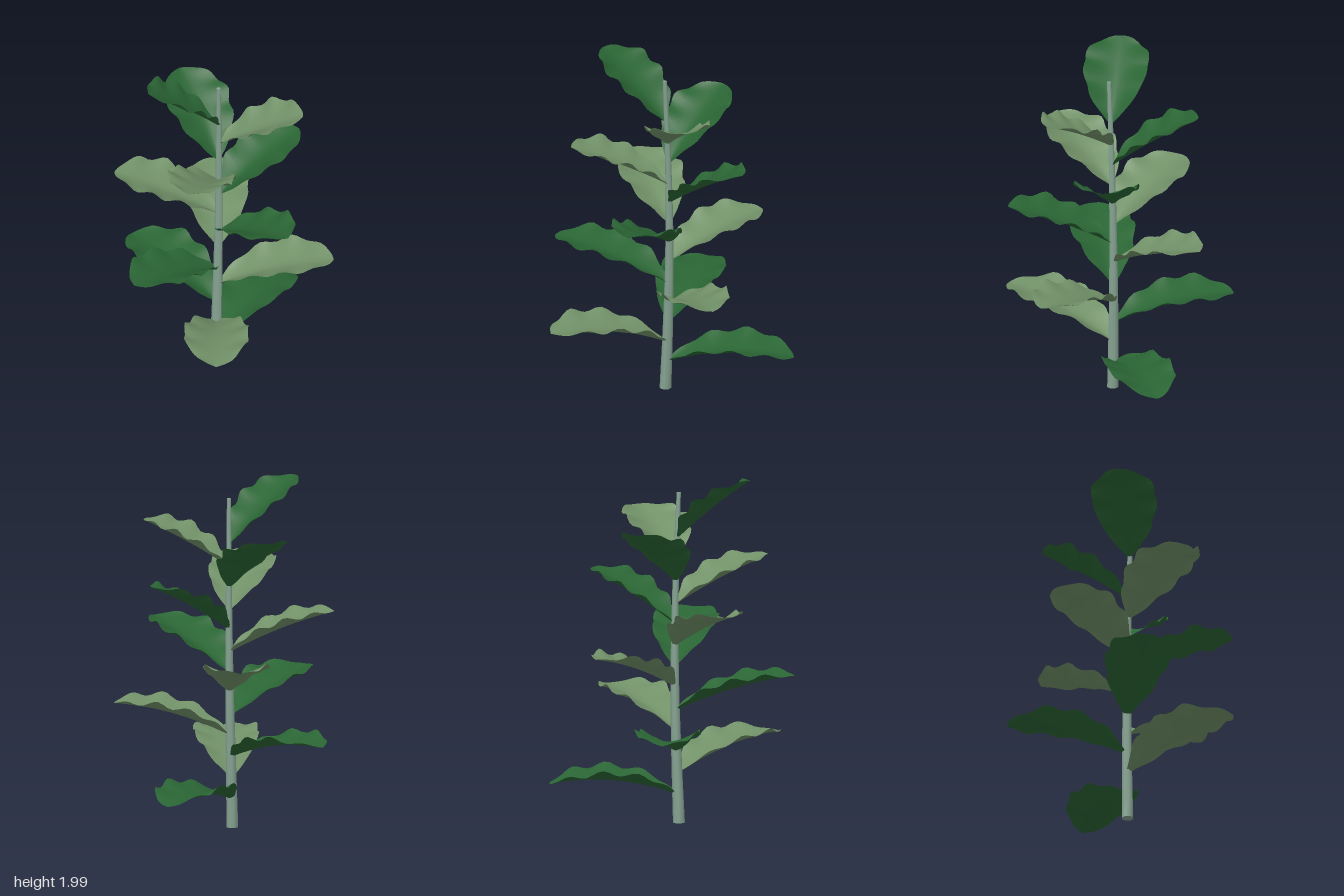
import * as THREE from 'three';

const stemMat = new THREE.MeshStandardMaterial({ color: 0x86a392 });
stemMat.name = 'greyGreenStem';
const darkMat = new THREE.MeshStandardMaterial({ color: 0x2a6534, side: THREE.DoubleSide });
darkMat.name = 'deepGreenLeaf';
const lightMat = new THREE.MeshStandardMaterial({ color: 0x719168, side: THREE.DoubleSide });
lightMat.name = 'paleGreenLeaf';

// Centre line of the slightly bowed stem
const STEM_TOP = 1.89;
const stemAt = (y) => {
  const t = y / STEM_TOP;
  return new THREE.Vector3(-0.044 + 0.024 * Math.sin(Math.PI * t), y, 0.045 + 0.023 * t * t);
};

// Half outline of a leaf: distance along the midrib, half width
const outline = new THREE.SplineCurve([
  [0, 0.014], [0.1, 0.07], [0.25, 0.133], [0.42, 0.168], [0.6, 0.185],
  [0.76, 0.168], [0.89, 0.116], [0.97, 0.055], [1, 0.004],
].map(([s, w]) => new THREE.Vector2(s, w)));

// Each leaf: base height, tip height, reach from the stem, compass angle in degrees
const LEAVES = [
  [0.165, 0.23, 0.73, 358], [0.285, 0.46, 0.73, 144], [0.41, 0.54, 0.69, 279],
  [0.535, 0.72, 0.66, 57], [0.645, 0.85, 0.68, 188], [0.785, 0.99, 0.59, 322],
  [0.90, 1.15, 0.60, 103], [1.015, 1.25, 0.595, 240], [1.145, 1.43, 0.515, 26],
  [1.255, 1.51, 0.56, 162], [1.385, 1.71, 0.50, 298], [1.505, 1.76, 0.49, 67],
  [1.635, 1.985, 0.45, 206],
];

// Cupped leaf blade with an arched midrib and rippled edges
function leafGeometry(reach, rise, droop, phase) {
  const rows = 32, cols = 10;
  const pos = [], index = [];
  for (let i = 0; i <= rows; i++) {
    const p = outline.getPoint(i / rows);
    const s = p.x;
    const x = 0.01 + (reach - 0.01) * s;
    const y = rise * s + droop * s * (1 - s);
    const slope = Math.atan2(rise + droop * (1 - 2 * s), reach);
    for (let j = 0; j <= cols; j++) {
      const v = (j / cols) * 2 - 1, a = Math.abs(v);
      const ripple = Math.sin(s * Math.PI * 7.5 + phase + (v > 0 ? 1.4 : 0));
      const fullness = p.y / 0.185;
      const lift = fullness * ((0.095 - 0.06 * s) * Math.pow(a, 1.4) + 0.016 * ripple * a ** 2.5);
      const half = p.y * (1 + 0.035 * Math.cos(s * Math.PI * 7.5 + phase) * a);
      pos.push(x - Math.sin(slope) * lift, y + Math.cos(slope) * lift, v * half);
      if (i < rows && j < cols) {
        const k = i * (cols + 1) + j, n = k + cols + 1;
        index.push(k, k + 1, n, k + 1, n + 1, n);
      }
    }
  }
  const geo = new THREE.BufferGeometry();
  geo.setAttribute('position', new THREE.Float32BufferAttribute(pos, 3));
  geo.setIndex(index);
  geo.computeVertexNormals();
  return geo;
}

export function createModel() {
  const plant = new THREE.Group();
  plant.name = 'leafyPlant';

  // Tapered stem, bent along its centre line
  const stemGeo = new THREE.CylinderGeometry(0.012, 0.034, STEM_TOP, 8, 16);
  stemGeo.translate(0, STEM_TOP / 2, 0);
  const sp = stemGeo.attributes.position;
  for (let i = 0; i < sp.count; i++) {
    const c = stemAt(sp.getY(i));
    sp.setXYZ(i, sp.getX(i) + c.x, c.y, sp.getZ(i) + c.z);
  }
  stemGeo.computeVertexNormals();
  const stem = new THREE.Mesh(stemGeo, stemMat);
  stem.name = 'stem';
  plant.add(stem);

  // Leaves spiralling up the stem in alternating greens
  LEAVES.forEach(([base, tip, reach, angle], i) => {
    const low = 1 - i / (LEAVES.length - 1);
    const geo = leafGeometry(reach, tip - base, 0.06 + 0.14 * low * low, i * 1.7);
    const leaf = new THREE.Mesh(geo, i % 2 ? lightMat : darkMat);
    leaf.name = `leaf${i + 1}`;
    leaf.position.copy(stemAt(base));
    leaf.rotation.y = -THREE.MathUtils.degToRad(angle);
    plant.add(leaf);
  });
  return plant;
}
